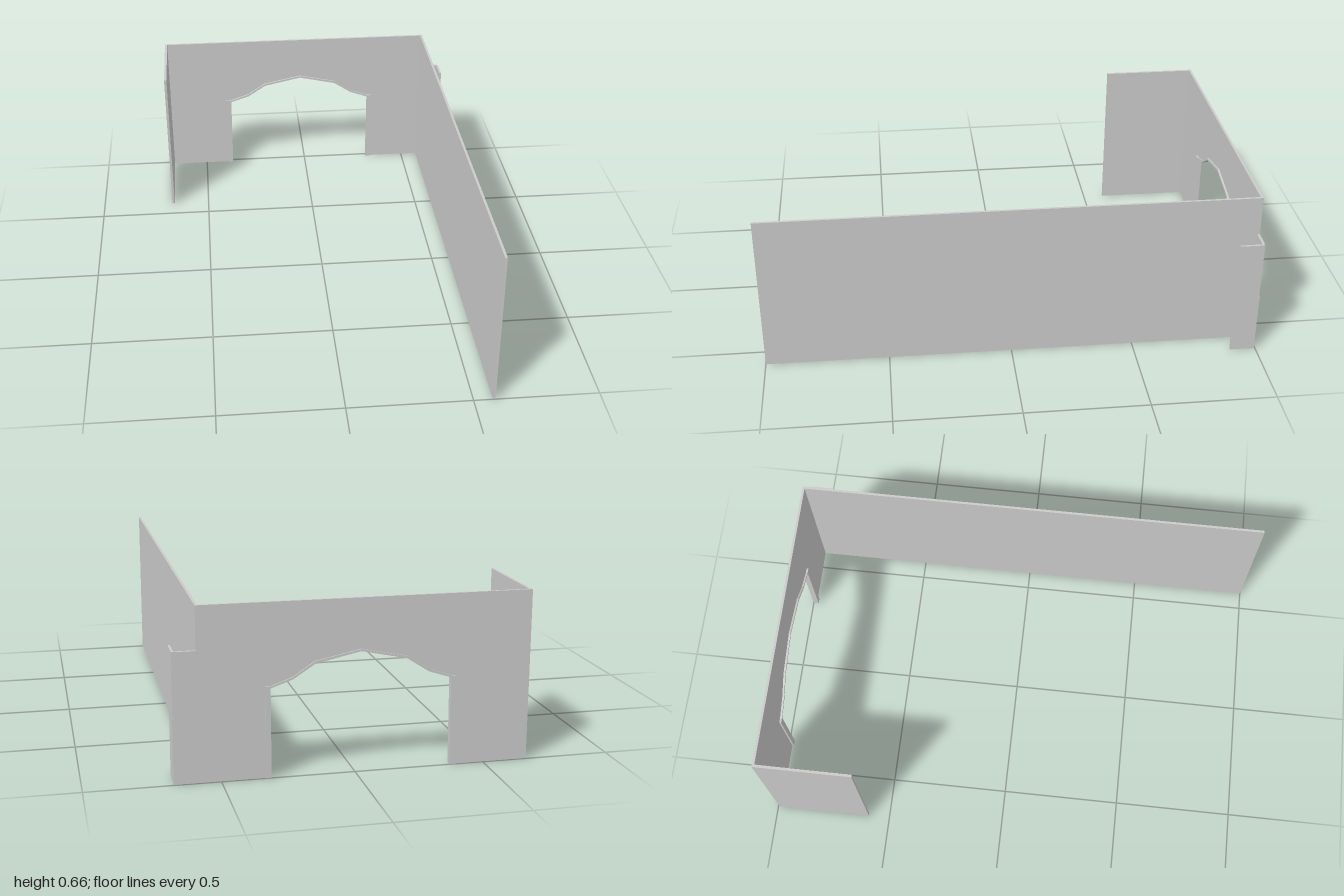
import * as THREE from 'three';

const material = new THREE.MeshStandardMaterial({ color: 0xcccccc, flatShading: true });

// Arch outline from the left foot to the right foot: outer edge and inner edge of the trim
const outer = [
  [-0.39, 0], [-0.39, 0.348], [-0.368, 0.348], [-0.28, 0.378], [-0.196, 0.433], [-0.02, 0.469],
  [0.153, 0.433], [0.236, 0.378], [0.318, 0.348], [0.337, 0.348], [0.337, 0],
];
const inner = [
  [-0.367, 0], [-0.365, 0.341], [-0.278, 0.369], [-0.194, 0.424], [-0.02, 0.461],
  [0.151, 0.424], [0.234, 0.37], [0.317, 0.341], [0.315, 0],
];

export function createModel() {
  const model = new THREE.Group();

  const add = (name, geometry) => {
    const mesh = new THREE.Mesh(geometry, material);
    mesh.name = name;
    model.add(mesh);
  };

  // Upright sheet: an outline in x and y pushed from z0 to z1
  const sheet = (name, points, z0, z1) => {
    const shape = new THREE.Shape(points.map(([x, y]) => new THREE.Vector2(x, y)));
    const geometry = new THREE.ExtrudeGeometry(shape, { depth: z1 - z0, bevelEnabled: false });
    add(name, geometry.translate(0, 0, z0));
  };

  // Upright slab given by its x and z limits and its height
  const slab = (name, x0, x1, z0, z1, height, base = 0) => {
    const geometry = new THREE.BoxGeometry(x1 - x0, height - base, z1 - z0);
    add(name, geometry.translate((x0 + x1) / 2, (base + height) / 2, (z0 + z1) / 2));
  };

  // Back wall with the archway and the lower stepped end
  sheet('archWall', [
    [-0.675, 0], ...outer, [0.674, 0], [0.674, 0.25], [0.667, 0.25], [0.667, 0.495],
    [0.586, 0.495], [0.586, 0.66], [-0.675, 0.66],
  ], -0.995, -0.985);

  // Trim lining the archway, standing slightly proud of both wall faces
  sheet('archTrim', [...outer, ...[...inner].reverse()], -1, -0.977);

  // Side walls
  slab('shortSideWall', -0.675, -0.664, -0.99, -0.592, 0.66);
  slab('longSideWall', 0.576, 0.586, -0.99, 1, 0.66);

  // Low return at the stepped end
  slab('lowReturn', 0.664, 0.673, -0.99, -0.895, 0.495);

  return model;
}
